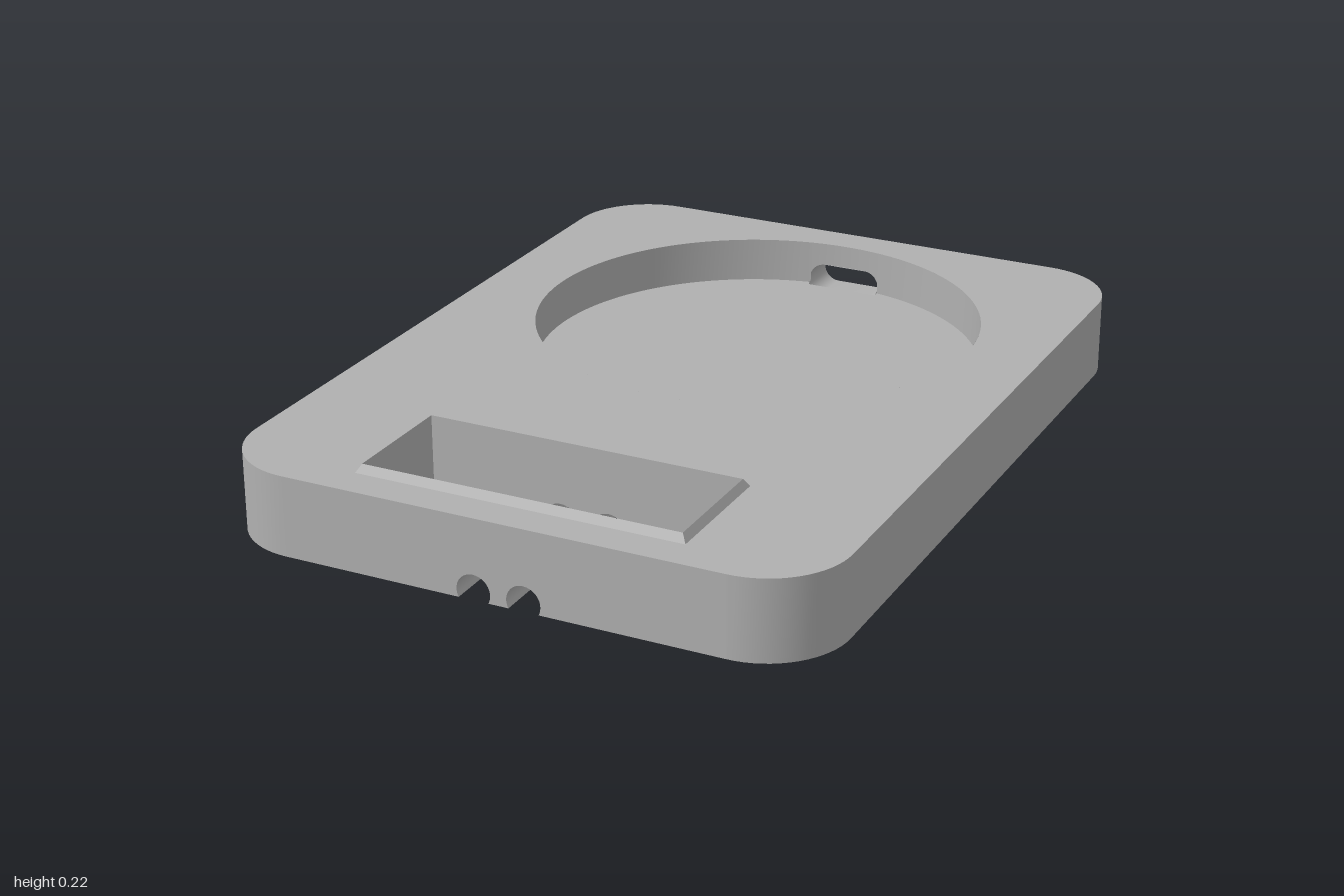
import * as THREE from 'three';
import { toCreasedNormals } from 'three/addons/utils/BufferGeometryUtils.js';

const H = 0.2, LIP = 0.22, FLOOR = 0.085, CEIL = 0.17;
const R = 0.565, ZC = -0.34;              // round pocket
const WX = 0.4, W0 = 0.6, W1 = 0.9;       // window
const CX = 0.14, CZ = 0.3;                // cable cavity
const SLOT_Y = 0.1, SLOT_R = 0.04, SLOT_X = 0.06, SLOT_END = -0.88;
const GX = 0.0625, GR = 0.0425, GY = 0.02; // cable grooves

export function createModel() {
  const group = new THREE.Group();
  const grey = new THREE.MeshStandardMaterial({ color: 0xb0b0b0, side: THREE.DoubleSide });
  grey.name = 'matte grey';

  const add = (name, geometry) => {
    const mesh = new THREE.Mesh(geometry, grey);
    mesh.name = name;
    group.add(mesh);
  };
  const range = (n, f) => Array.from({ length: n + 1 }, (_, i) => f(i / n));
  const at = (pts, y) => pts.map(([x, z]) => [x, y, z]);

  // Quads between two matching rows of points
  const strip = (name, a, b) => {
    const pos = [];
    for (let i = 0; i < a.length - 1; i++) {
      pos.push(...a[i], ...a[i + 1], ...b[i + 1], ...a[i], ...b[i + 1], ...b[i]);
    }
    const g = new THREE.BufferGeometry();
    g.setAttribute('position', new THREE.Float32BufferAttribute(pos, 3));
    add(name, toCreasedNormals(g, 0.6));
  };
  const wall = (name, pts, y0, y1) => strip(name, at(pts, y0), at(pts, y1));

  const shapeOf = (pts, holes, sx, sy) => {
    const v = (list) => list.map(([x, y]) => new THREE.Vector2(x * sx, y * sy));
    const shape = new THREE.Shape(v(pts));
    holes.forEach((h) => shape.holes.push(new THREE.Path(v(h))));
    return new THREE.ShapeGeometry(shape);
  };
  // Level face from x,z points; dir is 1 for up, -1 for down
  const level = (name, pts, y, dir, holes = []) =>
    add(name, shapeOf(pts, holes, 1, -dir).rotateX(-dir * Math.PI / 2).translate(0, y, 0));
  // Upright face from x,y points; dir is 1 for +z, -1 for -z
  const upright = (name, pts, z, dir, holes = []) =>
    add(name, shapeOf(pts, holes, dir, 1).rotateY(dir > 0 ? 0 : Math.PI).translate(0, 0, z));

  // Outlines
  const corner = (zc, t0) => range(16, (u) => {
    const t = t0 + u * Math.PI / 2;
    return [0.55 + 0.2 * Math.sin(t), zc + 0.2 * Math.cos(t)];
  });
  const leftSide = [...corner(0.8, 0), ...corner(-0.8, Math.PI / 2)];
  const rightSide = leftSide.map(([x, z]) => [-x, z]).reverse();
  const outline = [...leftSide, ...rightSide];
  const pocketArc = (t0, t1, n) => range(n, (u) => {
    const t = t0 + u * (t1 - t0);
    return [R * Math.sin(t), ZC + R * Math.cos(t)];
  });
  const stadium = [
    ...range(16, (u) => [SLOT_X + SLOT_R * Math.cos((u - 0.5) * Math.PI), SLOT_Y + SLOT_R * Math.sin((u - 0.5) * Math.PI)]),
    ...range(16, (u) => [-SLOT_X + SLOT_R * Math.cos((u + 0.5) * Math.PI), SLOT_Y + SLOT_R * Math.sin((u + 0.5) * Math.PI)]),
  ];
  stadium.push(stadium[0]);
  const dip = Math.asin(GY / GR);
  const grooveArc = (cx) => range(20, (u) => {
    const t = -dip + u * (Math.PI + 2 * dip);
    return [cx + GR * Math.cos(t), GY + GR * Math.sin(t)];
  });
  const bitten = (hw, h) => [
    [-hw, 0], ...grooveArc(-GX).reverse(), ...grooveArc(GX).reverse(), [hw, 0], [hw, h], [-hw, h],
  ];
  const rect = (d) => [[-WX - d, W1 + d], [WX + d, W1 + d], [WX + d, W0 - d], [-WX - d, W0 - d]];

  // Outer faces
  wall('leftSide', leftSide, 0, H);
  wall('rightSide', rightSide, 0, H);
  upright('frontFace', bitten(0.55, H), 1, 1);
  upright('backFace', [[-0.55, 0], [0.55, 0], [0.55, H], [-0.55, H]], -1, -1, [stadium.slice(0, -1)]);
  level('topFace', outline, H, 1, [pocketArc(0, Math.PI * 2, 128).slice(0, -1), rect(0.012)]);

  // Window with its raised lip
  const loop = (p) => [...p, p[0]];
  strip('windowLip', at(loop(rect(0.012)), H), at(loop(rect(0)), LIP));
  wall('windowRightWall', [[-WX, W1], [-WX, W0]], 0, LIP);
  wall('windowLeftWall', [[WX, W0], [WX, W1]], 0, LIP);
  upright('windowBackWall', bitten(WX, LIP), W0, 1);
  upright('windowFrontWall', bitten(WX, LIP), W1, -1);

  // Round pocket: wall is open at the front cavity and the back slot
  const slotHalf = SLOT_X + Math.sqrt(SLOT_R ** 2 - (SLOT_Y - FLOOR) ** 2);
  const tf = Math.asin(CX / R), td = Math.asin(0.175 / R), tb = Math.asin(slotHalf / R);
  wall('pocketLeftWall', pocketArc(Math.PI - tb, tf, 56), FLOOR, H);
  wall('pocketRightWall', pocketArc(2 * Math.PI - tf, Math.PI + tb, 56), FLOOR, H);
  wall('pocketFrontWall', pocketArc(tf, -tf, 12), CEIL, H);
  const over = pocketArc(Math.PI + tb, Math.PI - tb, 24);
  const slotTop = ([x]) => SLOT_Y + Math.sqrt(SLOT_R ** 2 - Math.max(0, Math.abs(x) - SLOT_X) ** 2);
  strip('pocketBackWall', over.map((p) => [p[0], slotTop(p), p[1]]), at(over, H));

  const mirrored = (half) => [...half, ...half.map(([x, z]) => [-x, z]).reverse()];
  const mouthZ = ZC + R * Math.cos(tf), edgeZ = ZC + R * Math.cos(td);
  const cut = mirrored([[-0.175, edgeZ], [-0.168, 0.172], [-0.153, 0.16], [-0.13, 0.155]]);
  level('pocketFloor', [
    ...pocketArc(td, Math.PI - tb, 56), [slotHalf, SLOT_END], [-slotHalf, SLOT_END],
    ...pocketArc(Math.PI + tb, 2 * Math.PI - td, 56), ...cut.slice(1, -1),
  ], FLOOR, 1);

  // Slot through the back wall
  const slotEnd = stadium.map(([x, y]) =>
    [x, y, y < FLOOR ? SLOT_END : ZC - Math.sqrt(R * R - x * x)]);
  strip('backSlot', slotEnd, stadium.map(([x, y]) => [x, y, -1]));
  const low = stadium.slice(0, -1).filter((p) => p[1] < FLOOR);
  low.sort((p, q) => p[0] - q[0]);
  upright('backSlotEnd', [[-slotHalf, FLOOR], ...low, [slotHalf, FLOOR]], SLOT_END, -1);

  // Cable cavity: sloped lead-in from the pocket floor, then a straight drop
  const foot = mirrored([[-CX, mouthZ], [-CX, mouthZ], [-CX, 0.2], [-0.137, 0.197], [-0.13, 0.195]]);
  strip('cavitySlope', at(foot, 0.04), at([[-CX, mouthZ], ...cut, [CX, mouthZ]], FLOOR));
  wall('cavityBackWall', foot.slice(1, -1), 0, 0.04);
  wall('cavityRightWall', [[-CX, CZ], [-CX, mouthZ]], 0, CEIL);
  wall('cavityLeftWall', [[CX, mouthZ], [CX, CZ]], 0, CEIL);
  upright('cavityFrontWall', bitten(CX, CEIL), CZ, -1);
  level('cavityCeiling', [...pocketArc(-tf, tf, 12), [CX, CZ], [-CX, CZ]], CEIL, -1);

  // Cable grooves, in front of and behind the window
  const gw = GR * Math.cos(dip), outer = GX + gw, inner = GX - gw;
  for (const [z0, z1] of [[CZ, W0], [W1, 1]]) {
    for (const cx of [-GX, GX]) {
      const arc = grooveArc(cx);
      strip('cableGroove', arc.map(([x, y]) => [x, y, z1]), arc.map(([x, y]) => [x, y, z0]));
    }
    level('grooveRib', [[-inner, z0], [inner, z0], [inner, z1], [-inner, z1]], 0, -1);
  }

  // Underside, cut by the grooves, window and cavity
  const path = [[-outer, 1], [-outer, W1], [-WX, W1], [-WX, W0], [-outer, W0], [-outer, CZ], [-CX, CZ]];
  level('underside', [
    ...outline, ...path, ...foot.slice(1, -1), ...path.map(([x, z]) => [-x, z]).reverse(),
  ], 0, -1);

  return group;
}
